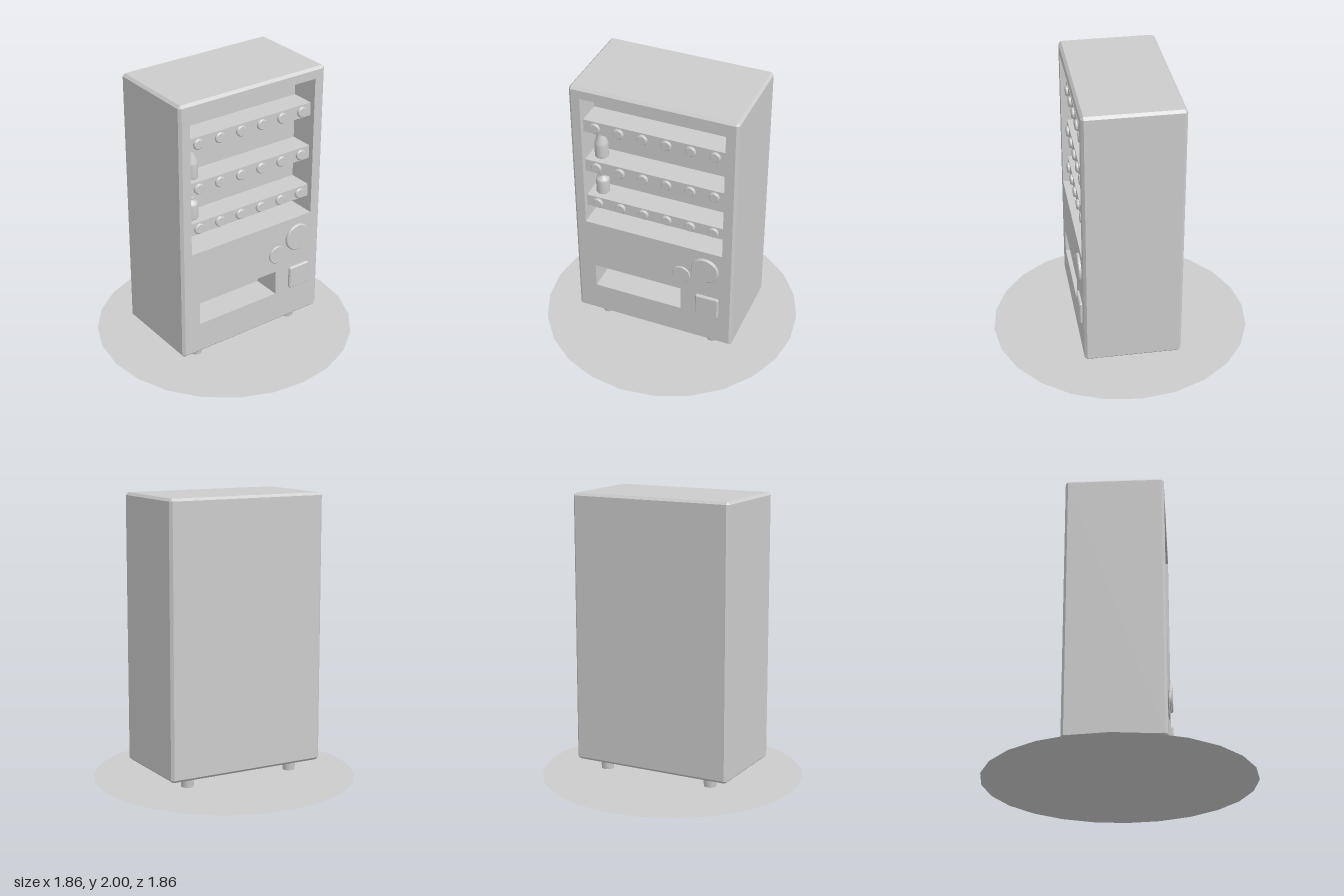
import * as THREE from 'three';

const material = new THREE.MeshStandardMaterial({ color: 0xcccccc });
const flat = new THREE.MeshStandardMaterial({ color: 0xcccccc, flatShading: true });
const twoSided = new THREE.MeshStandardMaterial({ color: 0xcccccc, side: THREE.DoubleSide });

const W = 0.59, D = 0.34, BOTTOM = 0.1, TOP = 2, BEVEL = 0.018;
const DEPTH = 0.21; // depth of both recesses
const WINDOW = { x0: -0.51, x1: 0.505, y0: 0.905, y1: 1.92 };
const SLOT = { x0: -0.45, x1: 0.205, y0: 0.335, y1: 0.52 };

function rectPoints({ x0, x1, y0, y1 }) {
  return [[x0, y0], [x1, y0], [x1, y1], [x0, y1]].map(([x, y]) => new THREE.Vector2(x, y));
}

// Chamfered box walls from four rings, open at front and back
function chamferedWalls(w, y0, y1, d, c) {
  const ring = (z, o) => [
    [-w + c, y0 + o], [w - c, y0 + o], [w - o, y0 + c], [w - o, y1 - c],
    [w - c, y1 - o], [-w + c, y1 - o], [-w + o, y1 - c], [-w + o, y0 + c],
  ].map(([x, y]) => new THREE.Vector3(x, y, z));
  const rings = [ring(-d, c), ring(-d + c, 0), ring(d - c, 0), ring(d, c)];
  const points = [];
  const tri = (p, q, r) => {
    if (p.distanceTo(q) > 1e-6 && q.distanceTo(r) > 1e-6 && r.distanceTo(p) > 1e-6) points.push(p, q, r);
  };
  for (let k = 0; k < 3; k++) {
    for (let i = 0; i < 8; i++) {
      const j = (i + 1) % 8;
      tri(rings[k][i], rings[k][j], rings[k + 1][j]);
      tri(rings[k][i], rings[k + 1][j], rings[k + 1][i]);
    }
  }
  const geometry = new THREE.BufferGeometry().setFromPoints(points);
  geometry.computeVertexNormals();
  return geometry;
}

// Inward-facing box without its front face
function recessGeometry({ x0, x1, y0, y1 }) {
  const geometry = new THREE.BoxGeometry(x1 - x0, y1 - y0, DEPTH);
  const index = Array.from(geometry.index.array);
  index.splice(24, 6);
  geometry.setIndex(index.reverse());
  geometry.computeVertexNormals();
  geometry.translate((x0 + x1) / 2, (y0 + y1) / 2, D - DEPTH / 2);
  return geometry;
}

// Disc facing +z, with a small chamfer on its front rim
function knobGeometry(r, depth, segments) {
  const c = Math.min(0.006, depth / 3);
  const profile = [[r, 0], [r, depth - c], [r - c, depth], [0, depth]];
  return new THREE.LatheGeometry(profile.map(([x, y]) => new THREE.Vector2(x, y)), segments)
    .rotateX(Math.PI / 2);
}

export function createModel() {
  const model = new THREE.Group();
  model.name = 'vendingMachine';
  const add = (name, geometry, x = 0, y = 0, z = 0, mat = material) => {
    const mesh = new THREE.Mesh(geometry, mat);
    mesh.name = name;
    mesh.position.set(x, y, z);
    model.add(mesh);
    return mesh;
  };

  // Ground disc
  add('groundDisc', new THREE.CircleGeometry(0.93, 24).rotateX(-Math.PI / 2), 0, 0, 0, twoSided);

  // Cabinet: walls, pierced front, back
  add('cabinetWalls', chamferedWalls(W, BOTTOM, TOP, D, BEVEL));
  const face = { x0: -W + BEVEL, x1: W - BEVEL, y0: BOTTOM + BEVEL, y1: TOP - BEVEL };
  const front = new THREE.Shape(rectPoints(face));
  front.holes = [WINDOW, SLOT].map((r) => new THREE.Path(rectPoints(r).reverse()));
  add('cabinetFront', new THREE.ShapeGeometry(front), 0, 0, D);
  add('cabinetBack', new THREE.ShapeGeometry(new THREE.Shape(rectPoints(face))).rotateY(Math.PI), 0, 0, -D);
  add('displayRecess', recessGeometry(WINDOW));
  add('dispenserSlot', recessGeometry(SLOT));

  // Shelves, each with a row of six buttons
  const shelfFront = 0.3, shelfBack = D - DEPTH;
  const shelfDepth = shelfFront - shelfBack;
  const button = knobGeometry(0.037, 0.018, 20);
  for (const [y0, y1] of [[1.64, 1.735], [1.317, 1.413], [1.022, 1.112]]) {
    add('shelf', new THREE.BoxGeometry(WINDOW.x1 - WINDOW.x0, y1 - y0, shelfDepth),
      (WINDOW.x0 + WINDOW.x1) / 2, (y0 + y1) / 2, shelfBack + shelfDepth / 2);
    for (let i = 0; i < 6; i++) {
      add('selectButton', button, -0.425 + i * 0.17, (y0 + y1) / 2, shelfFront, flat);
    }
  }

  // Two bottles standing on the shelves
  const bottle = (name, y, profile) => add(name,
    new THREE.LatheGeometry(profile.map(([r, h]) => new THREE.Vector2(r, h)), 20), -0.425, y, 0.215);
  bottle('tallBottle', 1.413, [[0, 0], [0.044, 0], [0.048, 0.006], [0.048, 0.1], [0.044, 0.118],
    [0.018, 0.19], [0.014, 0.215], [0, 0.215]]);
  bottle('shortBottle', 1.112, [[0, 0], [0.044, 0], [0.048, 0.006], [0.048, 0.1], [0.043, 0.117],
    [0.021, 0.133], [0.02, 0.146], [0.023, 0.148], [0.023, 0.163], [0, 0.163]]);

  // Front controls
  add('largeDial', knobGeometry(0.1, 0.02, 32), 0.385, 0.75, D, flat);
  add('smallDial', knobGeometry(0.067, 0.012, 32), 0.21, 0.66, D, flat);
  add('coinReturn', chamferedWalls(0.085, -0.085, 0.085, 0.02, 0.008), 0.405, 0.43, D);
  add('coinReturnFace', new THREE.PlaneGeometry(0.154, 0.154), 0.405, 0.43, D + 0.02);

  // Tapered feet
  const foot = new THREE.CylinderGeometry(0.05, 0.043, 0.08, 16);
  for (const x of [-0.41, 0.41]) {
    for (const z of [-0.215, 0.225]) add('foot', foot, x, 0.065, z);
  }
  return model;
}
